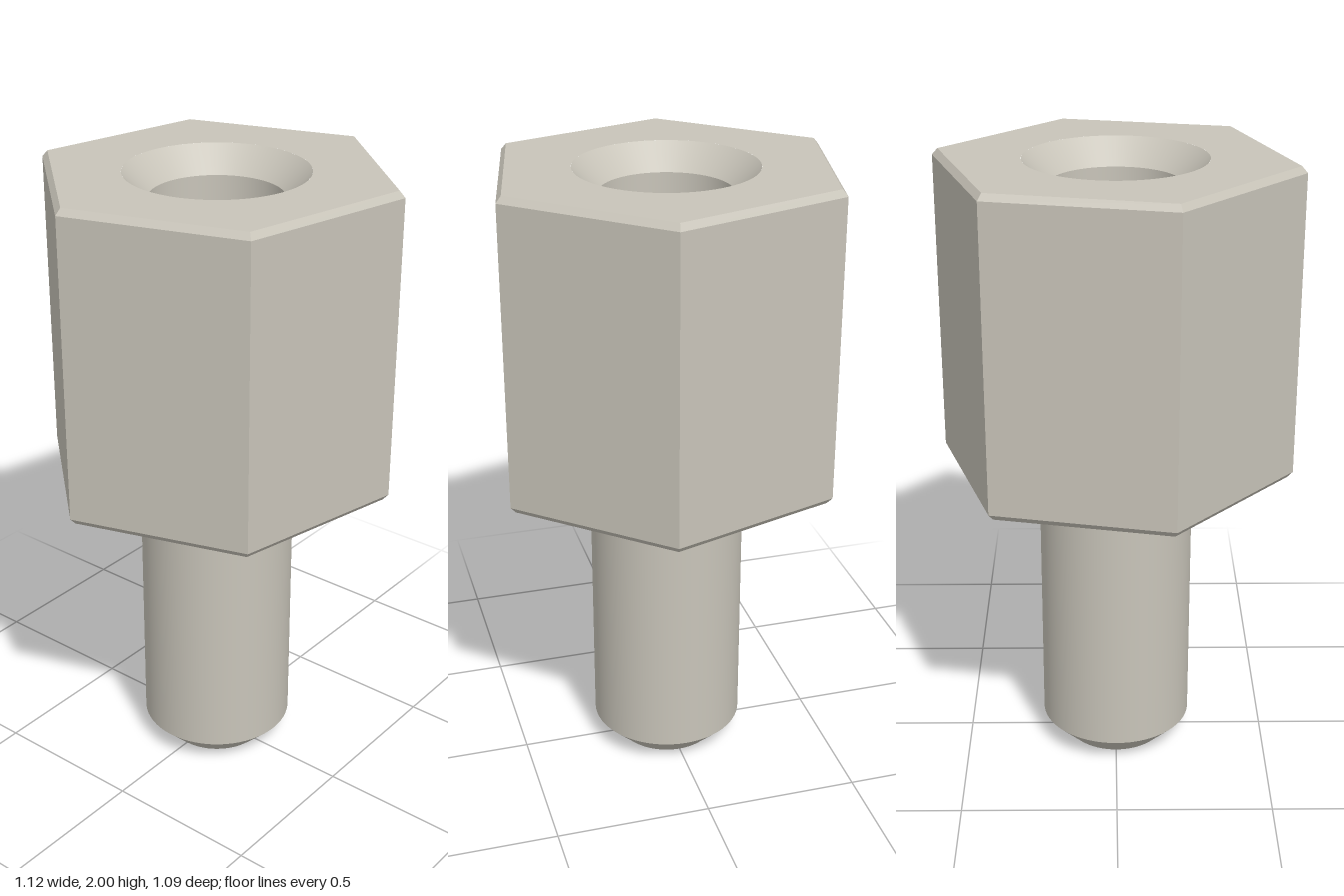
import * as THREE from 'three';
import { mergeGeometries } from 'three/addons/utils/BufferGeometryUtils.js';

const HEX_R = 0.573, HEX_IN = 0.555;          // corner radius, and at the chamfered ends
const HEX_TURN = THREE.MathUtils.degToRad(17.9);
const BEVEL = 0.02;
const SHAFT_R = 0.248, MOUTH_R = 0.283, BORE_R = 0.205;

// Turned surface whose profile corners all stay sharp
function turned(profile) {
  const bands = [];
  for (let i = 0; i < profile.length - 1; i++) {
    const ends = [profile[i], profile[i + 1]].map(([r, y]) => new THREE.Vector2(r, y));
    bands.push(new THREE.LatheGeometry(ends, 64));
  }
  return mergeGeometries(bands);
}

// Open six-sided band between two heights
function hexBand(rTop, rBottom, y0, y1) {
  return new THREE.CylinderGeometry(rTop, rBottom, y1 - y0, 6, 1, true, HEX_TURN)
    .translate(0, (y0 + y1) / 2, 0);
}

// Hexagonal end face with a round hole; dir is 1 facing up, -1 facing down
function hexFace(holeR, y, dir) {
  const corners = [];
  for (let i = 0; i < 6; i++) {
    const a = HEX_TURN + i * Math.PI / 3;
    corners.push(new THREE.Vector2(HEX_IN * Math.sin(a), -dir * HEX_IN * Math.cos(a)));
  }
  const shape = new THREE.Shape(corners);
  shape.holes.push(new THREE.Path().absarc(0, 0, holeR, 0, Math.PI * 2, true));
  return new THREE.ShapeGeometry(shape, 64).rotateX(-dir * Math.PI / 2).translate(0, y, 0);
}

export function createModel() {
  const metal = new THREE.MeshStandardMaterial({ color: 0xc8c4b9 });
  metal.name = 'warm grey metal';
  const flatMetal = metal.clone();
  flatMetal.flatShading = true;

  const model = new THREE.Group();
  model.name = 'hexStandoff';
  const add = (name, geometry, material) => {
    const mesh = new THREE.Mesh(geometry, material);
    mesh.name = name;
    model.add(mesh);
  };

  // Hexagonal body with chamfered ends
  add('hexBody', mergeGeometries([
    hexBand(HEX_R, HEX_IN, 1, 1 + BEVEL),
    hexBand(HEX_R, HEX_R, 1 + BEVEL, 2 - BEVEL),
    hexBand(HEX_IN, HEX_R, 2 - BEVEL, 2),
    hexFace(MOUTH_R, 2, 1),
    hexFace(SHAFT_R, 1, -1),
  ]), flatMetal);

  // Countersunk blind bore, from the mouth down to its floor
  add('bore', turned([[MOUTH_R, 2], [BORE_R, 1.92], [BORE_R, 1.25], [0, 1.25]]), metal);

  // Round stud with a chamfered tip
  add('stud', turned([[0, 0], [0.165, 0], [SHAFT_R, 0.083], [SHAFT_R, 1]]), metal);

  return model;
}
